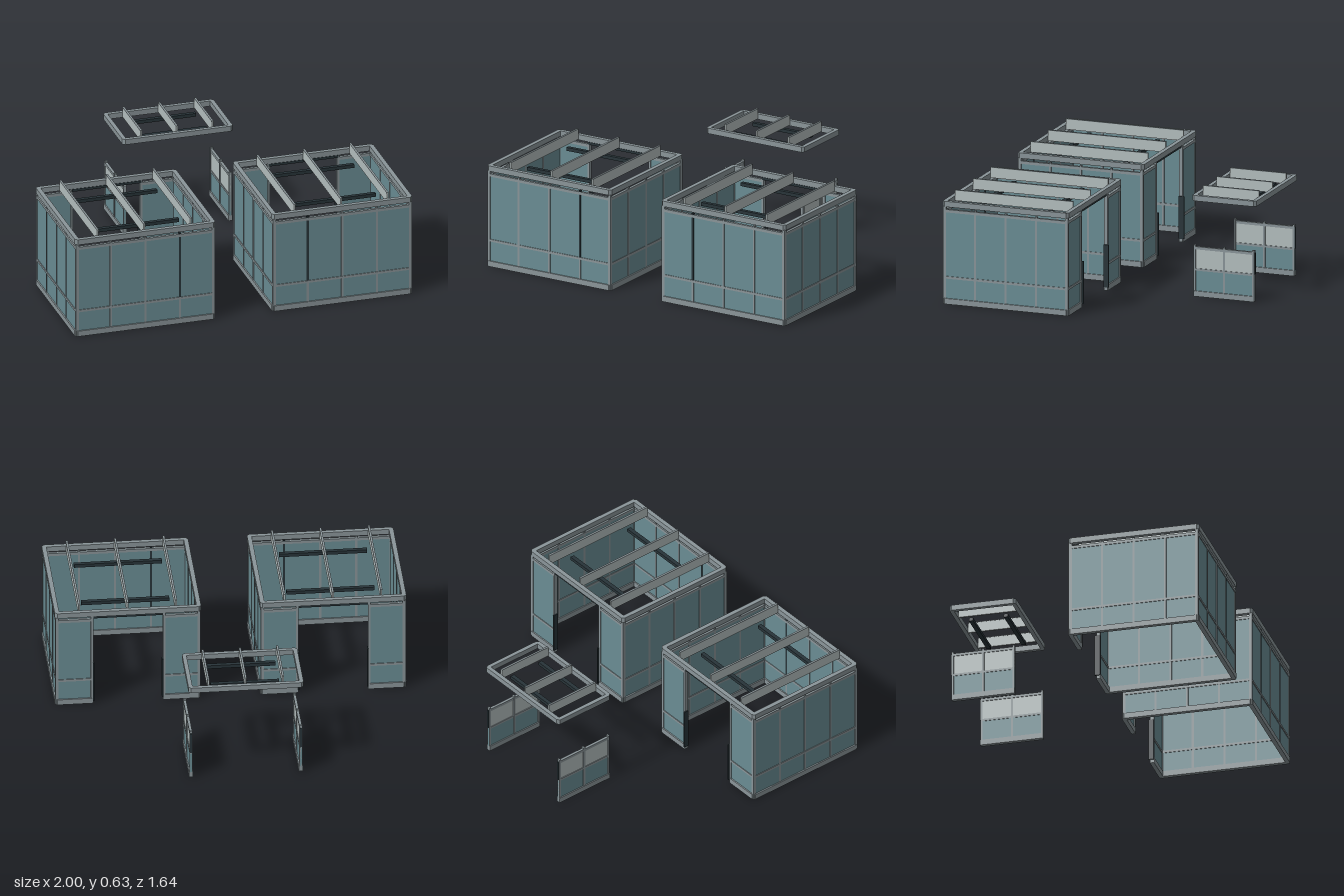
import * as THREE from 'three';

const mat = (name, color) => {
  const m = new THREE.MeshStandardMaterial({ color });
  m.name = name;
  return m;
};

export function createModel() {
  const metal = mat('grey metal', 0x8a9599);
  const glass = mat('teal panel', 0x6a8d94);
  const pale = mat('pale pane', 0xb5bfbf);
  const dark = mat('dark trim', 0x283439);

  // Box given by its limits on each axis
  function box(parent, name, m, x0, x1, y0, y1, z0, z1) {
    const mesh = new THREE.Mesh(new THREE.BoxGeometry(x1 - x0, y1 - y0, z1 - z0), m);
    mesh.position.set((x0 + x1) / 2, (y0 + y1) / 2, (z0 + z1) / 2);
    mesh.name = name;
    parent.add(mesh);
    return mesh;
  }

  // Flat outline in plan (x, z) raised from y0 to y1
  function slab(parent, name, shape, y0, y1) {
    const geo = new THREE.ExtrudeGeometry(shape, { depth: y1 - y0, bevelEnabled: false });
    geo.rotateX(-Math.PI / 2);
    const mesh = new THREE.Mesh(geo, metal);
    mesh.position.y = y0;
    mesh.name = name;
    parent.add(mesh);
  }

  const pts = (list) => list.map(([x, y]) => new THREE.Vector2(x, y));
  const rect = (hx, hz) => pts([[-hx, -hz], [-hx, hz], [hx, hz], [hx, -hz]]);

  // Rectangular ring with clipped corners
  function ring(hx, hz, w, c) {
    const s = new THREE.Shape(pts([
      [-hx + c, -hz], [hx - c, -hz], [hx, -hz + c], [hx, hz - c],
      [hx - c, hz], [-hx + c, hz], [-hx, hz - c], [-hx, -hz + c],
    ]));
    s.holes.push(new THREE.Path(rect(hx - w, hz - w)));
    return s;
  }

  // Open base ring, with a gap in the back side (shape +y is the back)
  function openRing(hx, hz, w, c, gap) {
    return new THREE.Shape(pts([
      [-gap, hz], [-hx + c, hz], [-hx, hz - c], [-hx, -hz + c], [-hx + c, -hz],
      [hx - c, -hz], [hx, -hz + c], [hx, hz - c], [hx - c, hz], [gap, hz],
      [gap, hz - w], [hx - w, hz - w], [hx - w, -hz + w],
      [-hx + w, -hz + w], [-hx + w, hz - w], [-gap, hz - w],
    ]));
  }

  // Wall section along x with its outer face at z = 0
  function wall(x0, x1, mullions, darkIndex = -1) {
    const g = new THREE.Group();
    box(g, 'wallPanel', glass, x0, x1, 0.03, 0.54, -0.018, -0.008);
    box(g, 'middleRail', metal, x0, x1, 0.148, 0.162, -0.021, -0.004);
    box(g, 'upperRail', metal, x0, x1, 0.535, 0.552, -0.021, -0.004);
    mullions.forEach((x, i) => {
      box(g, 'lowerMullion', metal, x - 0.006, x + 0.006, 0.03, 0.15, -0.02, -0.005);
      box(g, 'upperMullion', i === darkIndex ? dark : metal,
        x - 0.006, x + 0.006, 0.16, 0.56, -0.02, -0.005);
    });
    return g;
  }

  // Roof ring with raised fins and dark bars hung below
  function roof(hx, hz, y0, y1, w, fin, finTop, barHalf, barZ) {
    const g = new THREE.Group();
    g.name = 'roof';
    slab(g, 'roofRing', ring(hx, hz, w, 0.014), y0, y1);
    for (const x of [-fin, 0, fin]) {
      box(g, 'roofFin', pale, x - 0.005, x + 0.005, y0 + 0.004, finTop, -hz + w, hz - w);
      box(g, 'finEdge', metal, x - 0.006, x + 0.006, finTop - 0.003, finTop + 0.001, -hz + w, hz - w);
    }
    for (const z of barZ) {
      box(g, 'hangingBar', dark, -barHalf, barHalf, y0 - 0.016, y0 + 0.004, z - 0.012, z + 0.012);
    }
    return g;
  }

  // Four-sided room with a doorway in the back
  function room(side) {
    const g = new THREE.Group();
    g.name = side > 0 ? 'leftRoom' : 'rightRoom';
    const hx = 0.416, hz = 0.383, gap = 0.205;
    slab(g, 'baseRing', openRing(hx, hz, 0.025, 0.014, gap), 0, 0.033);
    g.add(roof(hx, hz, 0.568, 0.6, 0.026, 0.275, 0.634, 0.25, [-0.21, 0.205]));

    const front = wall(-hx + 0.012, hx - 0.012, [-0.205, 0, 0.205], side > 0 ? 0 : 2);
    front.name = 'frontWall';
    front.position.z = hz;
    g.add(front);

    for (const s of [-1, 1]) {
      const w = wall(-hz + 0.012, hz - 0.012, [-0.185, 0, 0.185]);
      w.name = 'sideWall';
      w.rotation.y = s * Math.PI / 2;
      w.position.x = s * hx;
      g.add(w);

      // Back wall beside the doorway, with its jamb and dark seal
      const b = wall(gap, hx - 0.012, []);
      b.name = 'backWall';
      b.rotation.y = Math.PI;
      b.position.set(s < 0 ? 0 : gap + hx - 0.012, 0, -hz);
      g.add(b);
      const j = s * gap;
      box(g, 'doorJamb', metal, j - 0.007, j + 0.007, 0, 0.568, -hz + 0.002, -hz + 0.024);
      const d = s * (gap - 0.009);
      box(g, 'doorSeal', dark, d - 0.004, d + 0.004, 0.02, 0.268, -hz - 0.007, -hz + 0.024);

      // Corner posts
      for (const t of [-1, 1]) {
        const px = s * (hx - 0.013), pz = t * (hz - 0.013);
        box(g, 'cornerPost', metal, px - 0.009, px + 0.009, 0, 0.57, pz - 0.009, pz + 0.009);
      }
    }
    box(g, 'doorHeader', dark, -gap, gap, 0.553, 0.568, -hz + 0.008, -hz + 0.029);
    g.position.set(side * 0.583, 0, 0.435);
    return g;
  }

  // Low free-standing screen running along z
  function screen(x) {
    const g = new THREE.Group();
    g.name = 'lowScreen';
    const z0 = -0.184, z1 = 0.184;
    box(g, 'screenBase', metal, -0.012, 0.012, 0, 0.032, z0, z1);
    box(g, 'lowerPanel', glass, -0.005, 0.005, 0.03, 0.155, z0, z1);
    box(g, 'upperPane', pale, -0.004, 0.004, 0.155, 0.28, z0, z1);
    box(g, 'screenRail', metal, -0.008, 0.008, 0.15, 0.163, z0, z1);
    box(g, 'screenTopRail', metal, -0.008, 0.008, 0.274, 0.29, z0, z1);
    for (const z of [z0 + 0.006, 0, z1 - 0.006]) {
      box(g, 'screenPost', metal, -0.009, 0.009, 0, 0.3, z - 0.006, z + 0.006);
    }
    box(g, 'screenSeal', dark, -0.006, 0.006, 0.16, 0.285, z0 - 0.004, z0);
    g.position.set(x, 0, -0.627);
    return g;
  }

  const model = new THREE.Group();
  model.name = 'pavilions';
  model.add(room(1), room(-1), screen(0.312), screen(-0.312));

  // Small roof floating above the two low screens
  const canopy = roof(0.327, 0.194, 0.558, 0.59, 0.024, 0.212, 0.623, 0.195, [-0.103, 0.101]);
  canopy.name = 'canopy';
  canopy.position.z = -0.629;
  model.add(canopy);
  return model;
}
